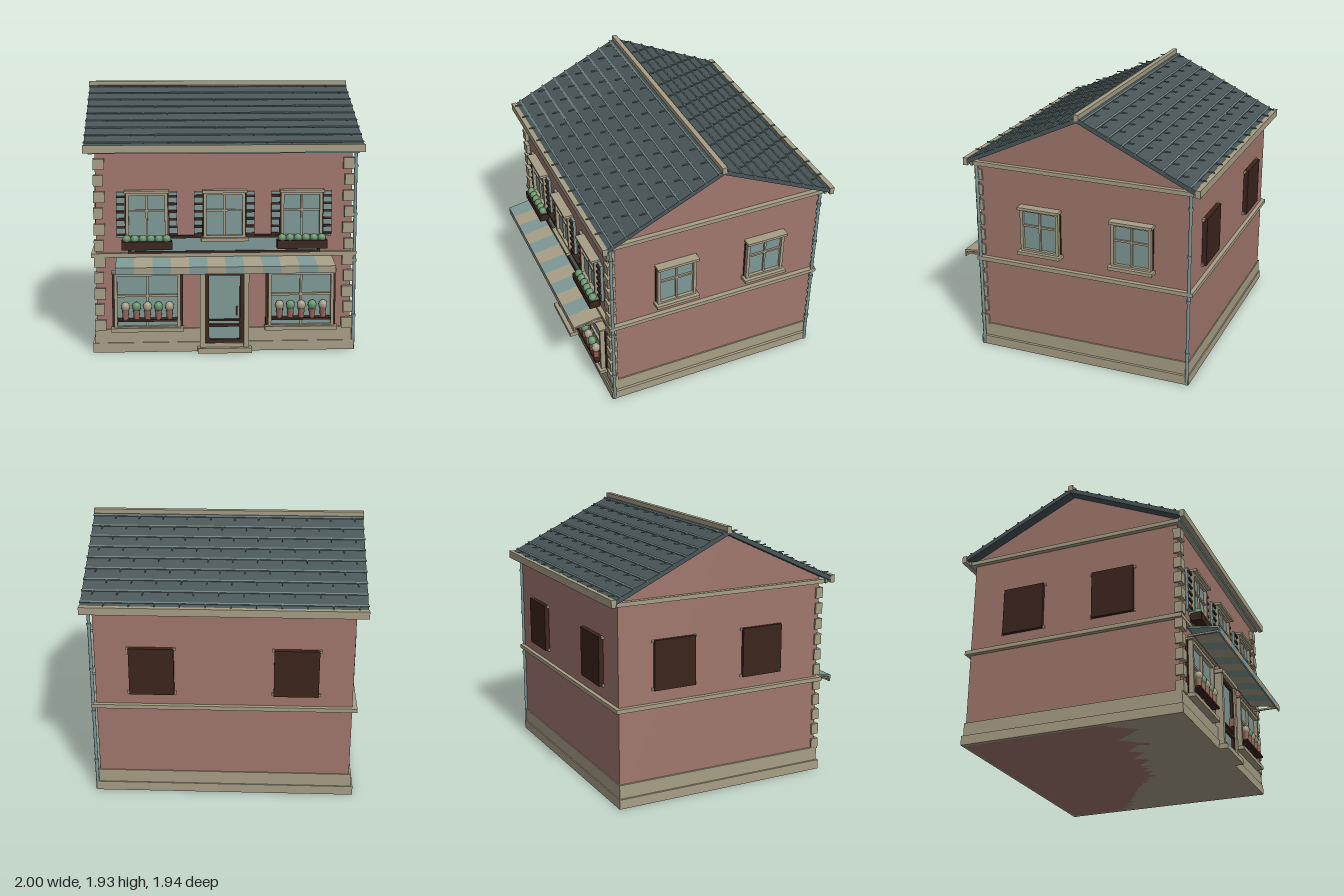
import * as THREE from 'three';

const mat = (name, color) => {
  const m = new THREE.MeshStandardMaterial({ color });
  m.name = name;
  return m;
};

export function createModel() {
  const brick = mat('brick', 0xa0776e);
  const stone = mat('stone', 0xa79e86);
  const teal = mat('paleTeal', 0x7e9996);
  const slate = mat('slate', 0x485557);
  const wood = mat('darkWood', 0x3b251c);
  const leaf = mat('leaf', 0x67946c);
  const clay = mat('clay', 0x98655a);
  const seam = mat('slateSeam', 0x6c807f);

  const house = new THREE.Group();
  house.name = 'shopHouse';

  const add = (parent, name, geo, m, x = 0, y = 0, z = 0) => {
    const mesh = new THREE.Mesh(geo, m);
    mesh.name = name;
    mesh.position.set(x, y, z);
    parent.add(mesh);
    return mesh;
  };
  // Box given by its limits on each axis
  const box = (parent, name, m, x0, x1, y0, y1, z0, z1) =>
    add(parent, name, new THREE.BoxGeometry(x1 - x0, y1 - y0, z1 - z0), m,
      (x0 + x1) / 2, (y0 + y1) / 2, (z0 + z1) / 2);
  const group = (name, x, y, z, ry = 0) => {
    const g = new THREE.Group();
    g.name = name;
    g.position.set(x, y, z);
    g.rotation.y = ry;
    house.add(g);
    return g;
  };
  // Extrudes a [z, y] outline along x, centred
  const extrudeX = (name, m, pts, width) => {
    const shape = new THREE.Shape(pts.map(([z, y]) => new THREE.Vector2(-z, y)));
    const geo = new THREE.ExtrudeGeometry(shape, { depth: width, bevelEnabled: false });
    geo.translate(0, 0, -width / 2).rotateY(Math.PI / 2);
    return add(house, name, geo, m);
  };
  // Rectangular frame facing +z
  const frame = (parent, name, m, x0, x1, y0, y1, t, z0, z1) => {
    box(parent, name + 'Left', m, x0, x0 + t, y0, y1, z0, z1);
    box(parent, name + 'Right', m, x1 - t, x1, y0, y1, z0, z1);
    box(parent, name + 'Bottom', m, x0 + t, x1 - t, y0, y0 + t, z0, z1);
    box(parent, name + 'Top', m, x0 + t, x1 - t, y1 - t, y1, z0, z1);
  };

  const MID = -0.08, FRONT = 0.73, BACK = -0.89, SIDE = 0.92;

  // Walls with gables
  extrudeX('walls', brick, [[FRONT, 0], [FRONT, 1.49], [MID, 1.87], [BACK, 1.49], [BACK, 0]], SIDE * 2);

  // Stone bands round the house
  box(house, 'plinth', stone, -0.95, 0.95, 0, 0.07, -0.905, 0.755);
  box(house, 'baseCourse', stone, -0.935, 0.93, 0.07, 0.17, -0.897, 0.745);
  box(house, 'beltCourse', stone, -0.955, 0.955, 0.7, 0.73, -0.92, 0.76);
  box(house, 'cornice', stone, -0.955, 0.955, 1.445, 1.475, -0.915, 0.76);
  box(house, 'frontFrieze', teal, -0.965, 0.965, 1.445, 1.475, 0.755, 0.772);
  box(house, 'backFrieze', teal, -0.965, 0.965, 1.445, 1.475, -0.93, -0.912);

  // Roof slabs, gutters and slate courses
  const RIDGE = 1.905, SLOPE = 0.468, RUN = 0.86, T = 0.034;
  for (const s of [1, -1]) {
    const zAt = d => MID + s * d;
    const pts = [[zAt(0), RIDGE], [zAt(RUN), RIDGE - RUN * SLOPE],
      [zAt(RUN), RIDGE - RUN * SLOPE - T], [zAt(0), RIDGE - T]];
    extrudeX('roofSlab', slate, pts, 1.99);
    const g0 = zAt(RUN - 0.005), g1 = zAt(RUN + 0.03);
    box(house, 'gutter', stone, -1, 1, 1.455, 1.51, Math.min(g0, g1), Math.max(g0, g1));
    for (let i = 0; i < 9; i++) {
      const d = 0.04 + i * 0.0975, y = RIDGE - d * SLOPE;
      const course = add(house, 'slateCourse', new THREE.BoxGeometry(2, 0.008, 0.014), seam, 0, y + 0.003, zAt(d));
      course.rotation.x = s * Math.atan(SLOPE);
      for (let x = -0.93 + (i % 2) * 0.088; x < 0.97; x += 0.176) {
        box(house, 'slateJoint', seam, x - 0.004, x + 0.004, y - 0.003, y + 0.005, zAt(d + 0.015) - 0.045, zAt(d + 0.015) + 0.045);
      }
    }
  }
  box(house, 'ridgeCap', stone, -1, 1, 1.885, 1.93, MID - 0.018, MID + 0.018);

  // Corner stones on the front
  for (const s of [1, -1]) {
    for (let i = 0; i < 11; i++) {
      const w = i % 2 ? 0.068 : 0.08, y = 0.2 + i * 0.117;
      box(house, 'cornerStone', stone, s * 0.934 - (s > 0 ? w : 0), s * 0.934 + (s > 0 ? 0 : w),
        y - 0.04, y + 0.04, 0.7, 0.757);
    }
  }

  // Downpipes with collars
  for (const z of [0.735, -0.89]) {
    add(house, 'downpipe', new THREE.CylinderGeometry(0.012, 0.012, 1.45, 10), teal, 0.945, 0.725, z);
    for (const y of [0.25, 0.66, 1.0, 1.35]) {
      add(house, 'pipeCollar', new THREE.CylinderGeometry(0.017, 0.017, 0.018, 10), teal, 0.945, y, z);
    }
  }

  // Upper window, origin on the wall at its centre
  const sashWindow = (x, y, z, ry) => {
    const g = group('window', x, y, z, ry);
    box(g, 'windowBacking', wood, -0.155, 0.155, -0.17, 0.175, 0, 0.012);
    box(g, 'glass', teal, -0.135, 0.135, -0.15, 0.15, 0.012, 0.018);
    frame(g, 'casing', stone, -0.15, 0.15, -0.165, 0.17, 0.022, 0.012, 0.042);
    box(g, 'muntinUpright', stone, -0.007, 0.007, -0.145, 0.15, 0.018, 0.032);
    box(g, 'muntinBar', stone, -0.13, 0.13, 0.03, 0.044, 0.018, 0.032);
    box(g, 'windowSill', stone, -0.168, 0.168, -0.182, -0.158, 0, 0.07);
    box(g, 'windowHead', stone, -0.16, 0.16, 0.165, 0.185, 0, 0.068);
    return g;
  };
  for (const z of [0.24, -0.465]) sashWindow(SIDE, 1.0, z, Math.PI / 2);

  // Closed wooden panels on the back and the right flank
  const panel = (x, z, ry) => {
    const g = group('closedPanel', x, 1.0, z, ry);
    box(g, 'board', wood, -0.16, 0.16, -0.18, 0.18, 0, 0.035);
    for (const sx of [1, -1]) for (const sy of [1, -1]) {
      box(g, 'panelStud', stone, sx * 0.165 - 0.01, sx * 0.165 + 0.01, sy * 0.172 - 0.01, sy * 0.172 + 0.01, 0, 0.018);
    }
  };
  for (const x of [0.515, -0.515]) panel(x, BACK, Math.PI);
  for (const z of [0.24, -0.465]) panel(-SIDE + 0.01, z, -Math.PI / 2);

  // Front upper windows with louvred shutters
  for (const x of [-0.555, 0, 0.555]) {
    const g = sashWindow(x, 1.0, FRONT, 0);
    for (const s of [1, -1]) {
      box(g, 'shutter', teal, s * 0.187 - 0.03, s * 0.187 + 0.03, -0.16, 0.17, 0, 0.02);
      for (let i = 0; i < 6; i++) {
        const y = -0.135 + i * 0.055;
        box(g, 'shutterSlat', wood, s * 0.187 - 0.03, s * 0.187 + 0.03, y - 0.009, y + 0.009, 0.015, 0.03);
      }
    }
  }

  // Flower boxes
  for (const x of [-0.555, 0.555]) {
    box(house, 'flowerBox', wood, x - 0.18, x + 0.18, 0.765, 0.825, 0.75, 0.828);
    for (let i = 0; i < 6; i++) {
      add(house, 'boxPlant', new THREE.SphereGeometry(0.031, 12, 8), leaf, x - 0.143 + i * 0.057, 0.838, 0.79);
    }
  }

  // Blank fascia board
  box(house, 'fascia', teal, -0.67, 0.67, 0.74, 0.842, FRONT, 0.757);
  frame(house, 'fasciaFrame', wood, -0.69, 0.69, 0.727, 0.856, 0.018, FRONT, 0.768);

  // Striped awning
  const W = 1.55 / 12;
  for (let i = 0; i < 12; i++) {
    const m = i % 2 ? stone : teal;
    const stripe = extrudeX('awningStripe', m, [[0.74, 0.705], [0.97, 0.668], [0.97, 0.617],
      [0.958, 0.617], [0.958, 0.656], [0.74, 0.692]], W);
    stripe.position.x = -0.775 + (i + 0.5) * W;
  }
  for (const x of [-0.75, 0.75]) box(house, 'awningArm', stone, x - 0.008, x + 0.008, 0.635, 0.648, 0.73, 0.96);

  // Shop windows with potted plants
  for (const cx of [-0.555, 0.555]) {
    const g = group('shopWindow', cx, 0, FRONT);
    box(g, 'shopBacking', wood, -0.255, 0.255, 0.165, 0.6, 0, 0.015);
    box(g, 'shopGlass', teal, -0.225, 0.225, 0.19, 0.575, 0.015, 0.022);
    frame(g, 'shopCasing', stone, -0.238, 0.238, 0.175, 0.588, 0.022, 0.015, 0.05);
    box(g, 'shopMullion', stone, -0.008, 0.008, 0.19, 0.575, 0.022, 0.04);
    box(g, 'shopTransom', stone, -0.225, 0.225, 0.412, 0.428, 0.022, 0.04);
    box(g, 'shopSill', stone, -0.262, 0.262, 0.16, 0.188, 0, 0.07);
    box(g, 'shopHead', stone, -0.258, 0.258, 0.588, 0.602, 0, 0.06);
    box(g, 'displayShelf', wood, -0.215, 0.215, 0.24, 0.255, 0.022, 0.085);
    for (let i = 0; i < 5; i++) {
      const x = (i - 2) * 0.079;
      add(g, 'pot', new THREE.CylinderGeometry(0.025, 0.02, 0.065, 12), clay, x, 0.287, 0.058);
      add(g, 'plant', new THREE.SphereGeometry(0.032, 14, 10), i % 2 ? leaf : stone, x, 0.345, 0.058)
        .scale.y = 1.15;
    }
  }

  // Door, surround and step
  const door = group('door', 0, 0, FRONT);
  for (const s of [1, -1]) box(door, 'doorPost', stone, s * 0.158 - 0.019, s * 0.158 + 0.019, 0, 0.6, 0, 0.06);
  box(door, 'doorLintel', stone, -0.19, 0.19, 0.592, 0.622, 0, 0.07);
  box(door, 'doorGlass', teal, -0.13, 0.13, 0.07, 0.585, 0, 0.026);
  frame(door, 'doorFrame', wood, -0.139, 0.139, 0.065, 0.592, 0.028, 0, 0.045);
  box(door, 'doorRail', wood, -0.112, 0.112, 0.185, 0.205, 0.02, 0.045);
  box(door, 'doorBar', wood, -0.112, 0.112, 0.228, 0.24, 0.02, 0.045);
  box(door, 'doorHandle', clay, 0.085, 0.097, 0.27, 0.335, 0.026, 0.06);
  box(door, 'threshold', stone, -0.14, 0.14, 0.03, 0.066, 0, 0.055);
  box(door, 'doorStep', stone, -0.195, 0.195, 0, 0.037, 0, 0.09);

  return house;
}
